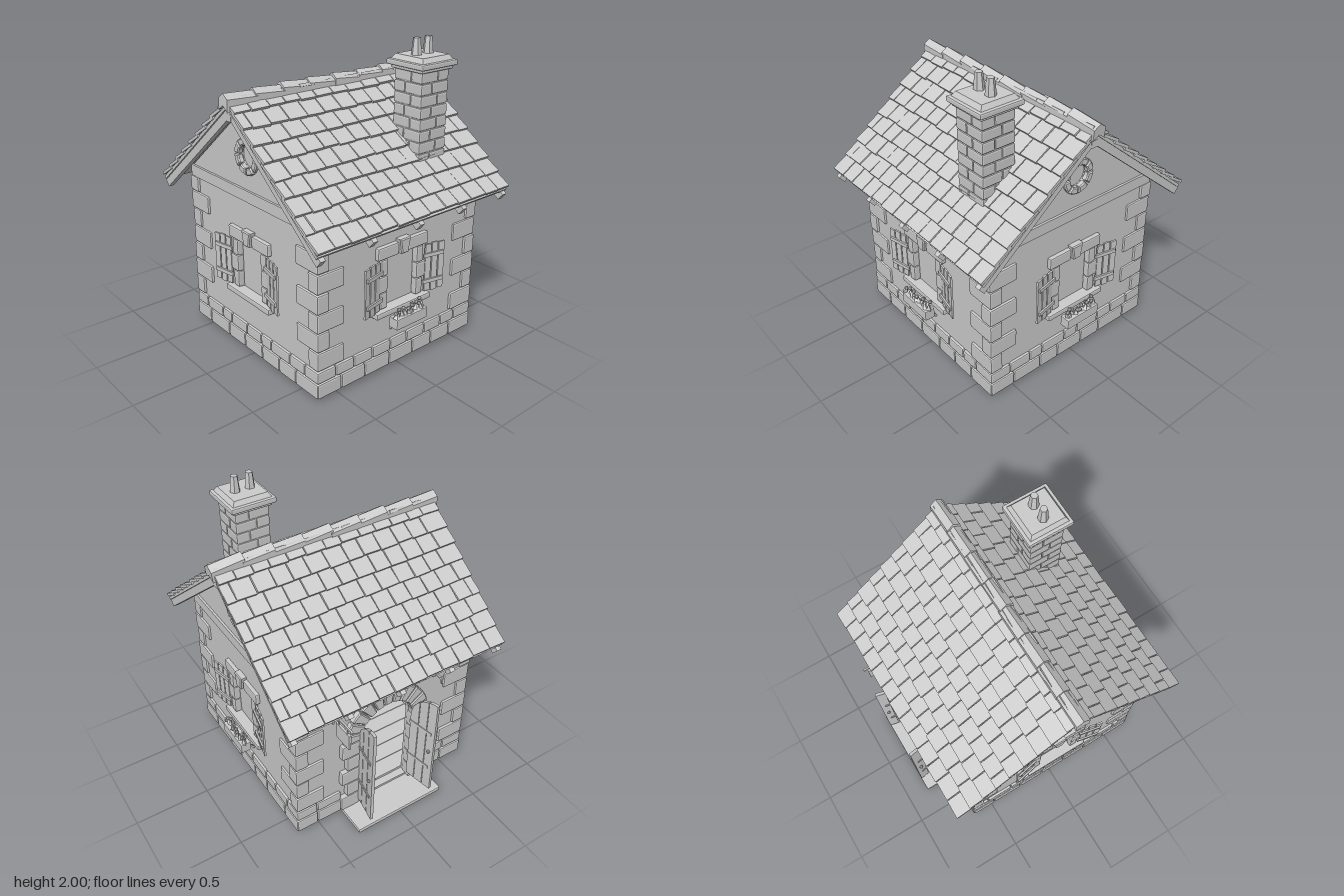
import * as THREE from 'three';
import { mergeGeometries } from 'three/addons/utils/BufferGeometryUtils.js';
import { RoundedBoxGeometry } from 'three/addons/geometries/RoundedBoxGeometry.js';

const grey = new THREE.MeshStandardMaterial({ color: 0xcccccc });
grey.name = 'plain grey';

// Seeded jitter in -1..1
let seed = 7;
const rnd = () => { seed = (seed * 16807) % 2147483647; return (seed / 2147483647) * 2 - 1; };

const box = (w, h, d, x, y, z) => new THREE.BoxGeometry(w, h, d).translate(x, y, z);
const stone = (w, h, d, x, y, z, r = 0.009) => new RoundedBoxGeometry(w, h, d, 1, r).translate(x, y, z);
const poly = (pts) => new THREE.Shape(pts.map(([x, y]) => new THREE.Vector2(x, y)));
const extrude = (shape, depth, bevel = 0, curveSegments = 12) => new THREE.ExtrudeGeometry(shape, {
  depth, curveSegments, bevelEnabled: bevel > 0, bevelSize: bevel, bevelThickness: bevel, bevelOffset: -bevel, bevelSegments: 1,
});

// Merges pieces into one flat-shaded mesh
function add(parent, name, geos) {
  const flat = geos.map((g) => {
    const f = g.index ? g.toNonIndexed() : g;
    f.clearGroups();
    f.computeVertexNormals();
    return f;
  });
  const mesh = new THREE.Mesh(mergeGeometries(flat), grey);
  mesh.name = name;
  parent.add(mesh);
  return mesh;
}

function group(parent, name, x = 0, y = 0, z = 0, ry = 0) {
  const g = new THREE.Group();
  g.name = name;
  g.position.set(x, y, z);
  g.rotation.y = ry;
  parent.add(g);
  return g;
}

// Ring or arch of wedge stones in the XY plane
function wedges(cy, r0, r1, n, from, to, depth, z) {
  const out = [], step = (to - from) / n, gap = 0.006 / r1;
  for (let i = 0; i < n; i++) {
    const a = from + i * step + gap, b = from + (i + 1) * step - gap, m = (a + b) / 2;
    const at = (r, t) => [r * Math.cos(t), cy + r * Math.sin(t)];
    const pts = [at(r0, a), at(r1, a), at(r1, m), at(r1, b), at(r0, b), at(r0, m)];
    out.push(extrude(poly(pts), depth, 0.007).translate(0, 0, z));
  }
  return out;
}

const W = 0.645; // half width of the walls
const rectHole = (x, y0, y1) => poly([[-x, y0], [x, y0], [x, y1], [-x, y1]]);

// Facade frame: x along the wall, y up, z = 0 on the outer face
function addWindow(f, withFlowers) {
  const win = group(f, 'window');
  add(win, 'windowPane', [box(0.27, 0.35, 0.01, 0, 0.605, -0.03)]);
  const surround = [extrude(poly([[-0.028, 0.78], [0.028, 0.78], [0.045, 0.878], [-0.045, 0.878]]), 0.04, 0.007).translate(0, 0, -0.005)];
  for (const s of [-1, 1]) {
    surround.push(stone(0.17, 0.08, 0.045, s * 0.125, 0.82, 0.005));
    [0.055, 0.08, 0.055].forEach((w, i) => surround.push(stone(w, 0.107, 0.045, s * (0.122 + w / 2), 0.5 + i * 0.11, 0)));
    // Shutter swung back against the wall
    const shutter = group(win, 'shutter', s * 0.18, 0, 0.018, -s * 0.2);
    const planks = [0.035, 0.085, 0.135].map((x, i) => box(0.042, 0.32 + 0.012 * (i % 2), 0.012, s * x, 0.61, 0));
    for (const y of [0.52, 0.7]) planks.push(box(0.15, 0.025, 0.012, s * 0.07, y, 0.011));
    add(shutter, 'shutterPlanks', planks);
  }
  add(win, 'windowSurround', surround);
  add(win, 'windowSill', [stone(0.46, 0.04, 0.08, 0, 0.423, 0.01)]);
  const struts = [-0.07, 0.07].map((x) => box(0.014, 0.1, 0.014, 0, 0, 0).rotateX(0.75).translate(x, 0.31, 0.035));
  if (!withFlowers) return;
  add(win, 'boxBrackets', struts);
  add(win, 'flowerBox', [stone(0.26, 0.07, 0.07, 0, 0.365, 0.085, 0.005)]);
  const plants = [];
  for (let i = 0; i < 10; i++) {
    const x = -0.115 + i * 0.0256;
    plants.push(new THREE.ConeGeometry(0.02, 0.05, 4).rotateZ(rnd() * 0.6).translate(x, 0.42, 0.085 + rnd() * 0.015));
    plants.push(new THREE.IcosahedronGeometry(0.014, 0).translate(x + rnd() * 0.008, 0.437 + rnd() * 0.012, 0.085 + rnd() * 0.02));
  }
  add(win, 'flowers', plants);
}

function addDoor(f) {
  const door = group(f, 'door');
  const surround = wedges(0.62, 0.2, 0.32, 11, 0, Math.PI, 0.045, -0.015);
  for (const s of [-1, 1]) {
    for (let i = 0; i < 5; i++) {
      const w = i % 2 ? 0.1 : 0.14;
      surround.push(stone(w, 0.113, 0.07, s * (0.2 + w / 2), 0.09 + i * 0.118, 0));
    }
    // Open leaf of three planks under a quarter arch
    const leaf = group(door, 'doorLeaf', s * 0.2, 0, 0.02, s * 1.75);
    const top = (u) => 0.62 + Math.sqrt(Math.max(0, 0.0441 - (0.21 - u) ** 2));
    const parts = [0, 0.07, 0.14].map((u) => {
      const us = [0.002, 0.023, 0.045, 0.067].map((d) => u + d);
      const pts = [[-s * us[0], 0.08], [-s * us[3], 0.08], ...us.reverse().map((v) => [-s * v, top(v)])];
      return extrude(poly(pts), 0.02).translate(0, 0, -0.01);
    });
    for (const y of [0.27, 0.57]) parts.push(box(0.18, 0.022, 0.03, -s * 0.09, y, 0));
    parts.push(new THREE.IcosahedronGeometry(0.013, 0).translate(-s * 0.175, 0.42, 0.018));
    parts.push(new THREE.IcosahedronGeometry(0.013, 0).translate(-s * 0.175, 0.42, -0.018));
    add(leaf, 'doorPlanks', parts);
  }
  add(door, 'doorSurround', surround);
  add(door, 'doorStep', [stone(0.66, 0.034, 0.25, 0, 0.017, 0.1)]);
  // Hanging sign on one side, small hook on the other
  add(door, 'hangingSign', [
    box(0.012, 0.012, 0.22, -0.39, 0.932, 0.1), box(0.012, 0.12, 0.012, -0.39, 0.9, 0.005),
    box(0.01, 0.01, 0.09, 0, 0, 0).rotateX(-0.8).translate(-0.39, 0.9, 0.03),
    box(0.015, 0.11, 0.14, -0.39, 0.835, 0.115),
    box(0.006, 0.05, 0.006, -0.39, 0.91, 0.07), box(0.006, 0.05, 0.006, -0.39, 0.91, 0.16),
  ]);
  add(door, 'wallHook', [box(0.012, 0.012, 0.08, 0.38, 0.87, 0.035), box(0.012, 0.05, 0.012, 0.38, 0.86, 0.07), box(0.03, 0.05, 0.01, 0.38, 0.87, 0.003)]);
}

// Two staggered courses of stones along the foot of a wall
function addPlinth(f, ranges) {
  const out = [];
  [[0.075, 0.096, 0.19], [0.165, 0.074, 0.15]].forEach(([y, h, size], row) => {
    for (const [a, b] of ranges) {
      const n = Math.max(2, Math.round((b - a) / size)), step = (b - a) / n;
      let x = a;
      for (let i = 0; i < n; i++) {
        const end = i === n - 1 ? b : a + (i + 1) * step + rnd() * 0.025;
        out.push(stone(end - x - 0.006, h, 0.06, (x + end) / 2, y, -0.008 - row * 0.004));
        x = end;
      }
    }
  });
  add(f, 'plinthStones', out);
}

function addRoof(house) {
  const roof = group(house, 'roof'), A = 0.686, L = 1.06, rows = 9, step = L / rows;
  for (const s of [1, -1]) {
    const slope = group(roof, 'roofSlope', 0, 1.735, 0, s > 0 ? 0 : Math.PI);
    slope.rotation.order = 'YXZ';
    slope.rotation.x = A;
    const tiles = [];
    for (let r = 0; r < rows; r++) {
      const zEnd = L - r * step;
      let x = -0.785;
      for (let i = 0; x < 0.78; i++) {
        let end = x + (i === 0 && r % 2 ? 0.065 : 0.122 + rnd() * 0.014);
        if (end > 0.73) end = 0.785;
        const len = 0.14 + rnd() * 0.005;
        tiles.push(box(end - x - 0.006, 0.018, len, 0, 0, 0).rotateX(-0.14).rotateY(rnd() * 0.025)
          .translate((x + end) / 2, -0.02 + rnd() * 0.002, zEnd - 0.07 + rnd() * 0.004));
        x = end;
      }
    }
    add(slope, 'roofTiles', tiles);
    add(slope, 'roofDeck', [box(1.55, 0.02, 1.05, 0, -0.042, 0.54)]);
    add(slope, 'rafters', [-0.745, -0.37, 0, 0.37, 0.745].map((x) => box(0.036, 0.055, 1.06, x, -0.073, 0.56)));
  }
  add(roof, 'ridgeBeam', [box(1.53, 0.045, 0.045, 0, 1.607, 0)]);
  // Overlapping ridge caps, each tipped a little
  const caps = [];
  for (let i = 0; i < 8; i++) {
    const cap = poly([[-0.044, -0.055], [0, -0.025], [0.044, -0.055], [0.044, 0.015], [0, 0.045], [-0.044, 0.015]]);
    caps.push(extrude(cap, 0.212).translate(0, 0, -0.106).rotateY(Math.PI / 2).rotateZ(-0.07 + rnd() * 0.03)
      .translate(-0.693 + i * 0.198, 1.708 + rnd() * 0.004, rnd() * 0.003));
  }
  add(roof, 'ridgeCaps', caps);
}

function addChimney(model) {
  const c = group(model, 'chimney', 0.347, 0, 0.445);
  const bricks = [box(0.215, 0.62, 0.215, 0, 1.52, 0)], half = 0.118;
  for (let i = 0; i < 8; i++) {
    const cut = i % 2 ? 0.025 : -0.025, spans = [[-half, cut], [cut, half]];
    for (const [a, b] of spans) for (const [d, e] of spans) {
      bricks.push(stone(b - a - 0.004, 0.069, e - d - 0.004, (a + b) / 2, 1.275 + i * 0.072, (d + e) / 2));
    }
  }
  add(c, 'chimneyBricks', bricks);
  add(c, 'chimneyCap', [
    stone(0.265, 0.03, 0.265, 0, 1.825, 0), stone(0.305, 0.036, 0.305, 0, 1.85, 0),
    new THREE.CylinderGeometry(0.16, 0.19, 0.035, 4).rotateY(Math.PI / 4).translate(0, 1.88, 0),
  ]);
  add(c, 'chimneyPots', [-0.052, 0.048].map((x) => new THREE.CylinderGeometry(0.023, 0.035, 0.12, 6).rotateY(Math.PI / 6).translate(x, 1.94, 0)));
}

export function createModel() {
  const model = new THREE.Group();
  model.name = 'cottage';
  const house = group(model, 'house', 0, 0, 0.018);
  ['frontFacade', 'rightFacade', 'backFacade', 'leftFacade'].forEach((name, i) => {
    const f = group(house, name, 0, 0, 0, i * Math.PI / 2);
    const face = group(f, 'wallFace', 0, 0, W);
    const gable = i % 2 === 1, back = i === 2;
    const wall = poly(gable ? [[-W, 0.03], [W, 0.03], [W, 1.13], [0, 1.66], [-W, 1.13]] : [[-0.64, 0.03], [0.64, 0.03], [0.64, 1.11], [-0.64, 1.11]]);
    if (back) {
      const arch = new THREE.Path();
      arch.moveTo(-0.205, 0.04).lineTo(0.205, 0.04).lineTo(0.205, 0.62).absarc(0, 0.62, 0.205, 0, Math.PI, false);
      wall.holes.push(arch);
      addDoor(face);
    } else {
      wall.holes.push(rectHole(0.13, 0.43, 0.79));
      addWindow(face, i < 2);
    }
    if (gable) {
      wall.holes.push(new THREE.Path().absarc(0, 1.352, 0.078, 0, Math.PI * 2, true));
      add(face, 'roundWindowStones', wedges(1.352, 0.07, 0.115, 8, 0, Math.PI * 2, 0.025, -0.01));
      add(face, 'roundWindowPane', [box(0.18, 0.18, 0.01, 0, 1.352, -0.03)]);
      add(face, 'gableBeam', [box(1.29, 0.074, 0.03, 0, 1.1, 0)]);
    }
    add(face, 'wall', [extrude(wall, 0.05).translate(0, 0, -0.05)]);
    addPlinth(face, back ? [[-0.665, -0.335], [0.335, 0.665]] : [[-0.665, 0.665]]);
  });

  // Corner stones, long side alternating between the two walls
  const quoins = [];
  for (const sx of [-1, 1]) for (const sz of [-1, 1]) for (let i = 0; i < 7; i++) {
    const w = i % 2 ? 0.09 : 0.2, d = i % 2 ? 0.2 : 0.09, h = i === 6 ? 0.1 : 0.118, e = 0.66 + rnd() * 0.003;
    quoins.push(stone(w, h, d, sx * (e - w / 2), 0.21 + i * 0.125 + h / 2, sz * (e - d / 2)));
  }
  add(house, 'cornerStones', quoins);

  // Ground slab and floorboards
  add(house, 'groundSlab', [box(1.3, 0.03, 1.3, 0, 0.035, 0)]);
  const boards = [];
  for (let i = 0; i < 10; i++) boards.push(box(1.2, 0.02, 0.116, 0, 0.058, -0.54 + i * 0.12));
  add(house, 'floorBoards', boards);

  addRoof(house);
  addChimney(model);
  return model;
}
